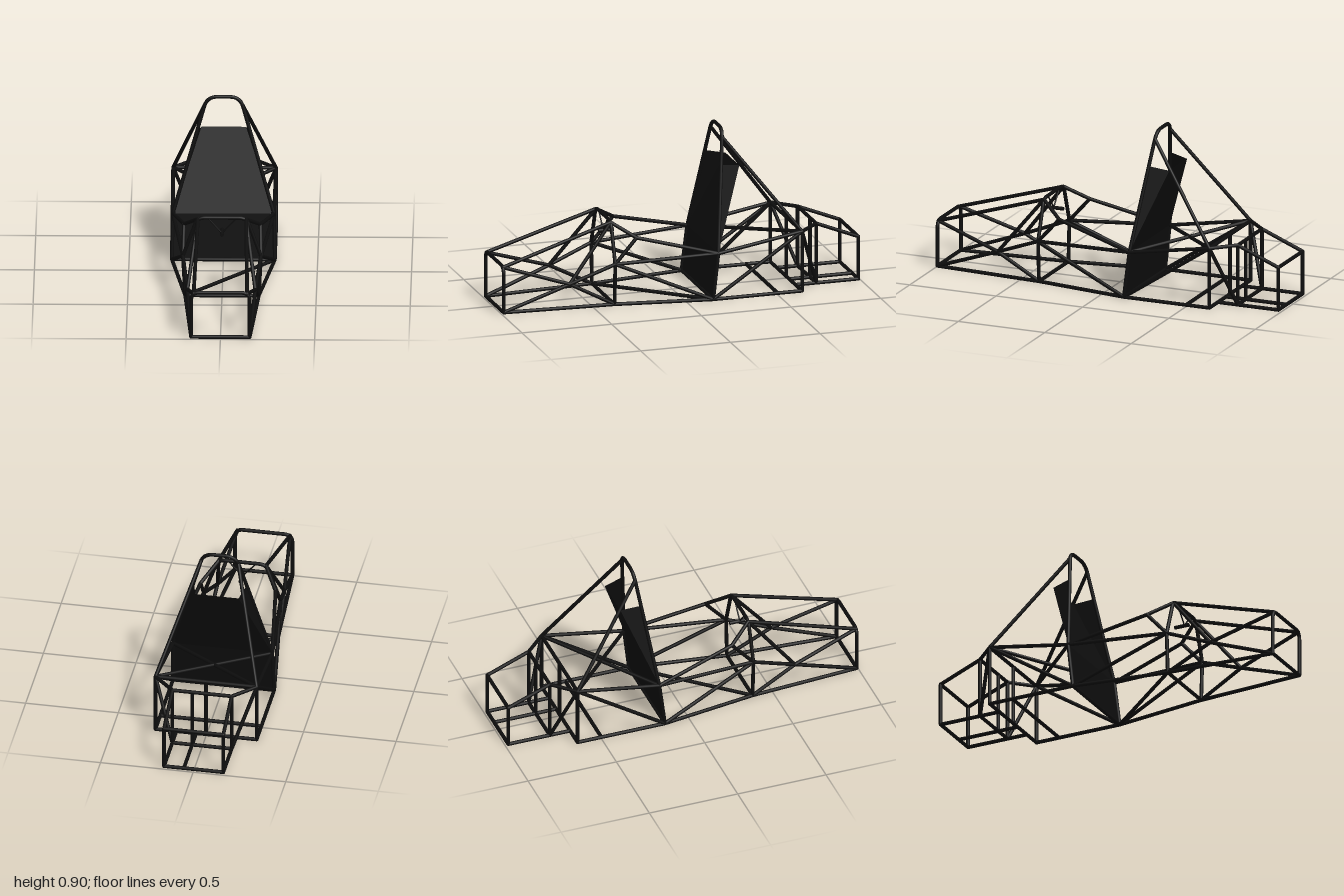
import * as THREE from 'three';

const R = 0.01;
const black = new THREE.MeshStandardMaterial({ color: 0x0d0d0d });
const sheet = new THREE.MeshStandardMaterial({ color: 0x0d0d0d, side: THREE.DoubleSide });
const V = (p) => new THREE.Vector3(...p);
const flip = (p) => [-p[0], p[1], p[2]];

export function createModel() {
  const model = new THREE.Group();
  model.name = 'spaceFrameChassis';

  const add = (parent, geo, name, mat = black) => {
    const m = new THREE.Mesh(geo, mat);
    m.name = name;
    parent.add(m);
    return m;
  };
  const group = (name) => {
    const g = new THREE.Group();
    g.name = name;
    model.add(g);
    return g;
  };

  // Straight tube between two nodes, with a ball closing each end
  const bar = (parent, name, a, b, r = R) => {
    const A = V(a), B = V(b), d = B.clone().sub(A);
    const m = add(parent, new THREE.CylinderGeometry(r, r, d.length(), 12), name);
    m.position.copy(A).add(B).multiplyScalar(0.5);
    m.quaternion.setFromUnitVectors(new THREE.Vector3(0, 1, 0), d.normalize());
    for (const p of [A, B]) add(parent, new THREE.SphereGeometry(r, 12, 8), 'joint').position.copy(p);
  };
  // The same tube on both sides
  const pair = (parent, name, a, b, r) => {
    bar(parent, name + 'Left', a, b, r);
    bar(parent, name + 'Right', flip(a), flip(b), r);
  };
  // Bent hoop: left half given from the foot up as [point, bend length]
  const hoop = (parent, name, half) => {
    const pts = [...half, ...half.slice().reverse().map(([p, t]) => [flip(p), t])];
    const path = new THREE.CurvePath();
    let from = V(pts[0][0]);
    for (let i = 1; i < pts.length - 1; i++) {
      const c = V(pts[i][0]), t = pts[i][1];
      const toward = (q) => c.clone().add(V(q).sub(c).setLength(t));
      const p = toward(pts[i - 1][0]), q = toward(pts[i + 1][0]);
      path.add(new THREE.LineCurve3(from, p));
      path.add(new THREE.QuadraticBezierCurve3(p, c, q));
      from = q;
    }
    path.add(new THREE.LineCurve3(from, V(pts[pts.length - 1][0])));
    add(parent, new THREE.TubeGeometry(path, 120, R, 12), name);
  };

  // Frame nodes on the left side
  const frontFoot = [0.155, R, 0.99], frontTop = [0.142, 0.257, 0.99];
  const mid = [0.18, 0.14, 0.63];
  const dashFoot = [0.195, R, 0.385], dashKnee = [0.207, 0.235, 0.385], dashTop = [0.128, 0.445, 0.385];
  const shoulder = [0.203, 0.37, 0.265];
  const mainFoot = [0.273, R, -0.14], mainKnee = [0.268, 0.26, -0.17], mainUpper = [0.1, 0.85, -0.245];
  const bulkFoot = [0.273, R, -0.635], bulkTop = [0.273, 0.34, -0.635];
  const boxFoot = [0.16, R, -0.75], boxTop = [0.16, 0.34, -0.75];
  const tailFoot = [0.16, R, -0.985], tailTop = [0.16, 0.245, -0.985];
  const across = (parent, name, p) => bar(parent, name, p, flip(p));

  // Hoops
  const hoops = group('hoops');
  hoop(hoops, 'frontHoop', [[frontFoot, 0], [[0.155, 0.262, 0.99], 0.045]]);
  hoop(hoops, 'dashHoop', [[dashFoot, 0], [dashKnee, 0.015], [[0.13, 0.452, 0.385], 0.04]]);
  hoop(hoops, 'mainHoop', [[mainFoot, 0], [mainKnee, 0.015], [[0.088, 0.893, -0.25], 0.055]]);

  // Nose
  const nose = group('nose');
  across(nose, 'frontCrossbar', frontFoot);
  pair(nose, 'bottomRail', frontFoot, dashFoot);
  pair(nose, 'topRail', frontTop, dashTop);
  for (const p of [frontFoot, frontTop, dashFoot, dashKnee, dashTop]) pair(nose, 'sideBrace', mid, p);

  // Cockpit
  const cockpit = group('cockpit');
  across(cockpit, 'dashCrossbar', dashFoot);
  across(cockpit, 'seatCrossbar', mainFoot);
  pair(cockpit, 'bottomRail', dashFoot, mainFoot);
  pair(cockpit, 'sideRail', dashKnee, mainKnee);
  pair(cockpit, 'sideDiagonal', dashKnee, mainFoot);
  pair(cockpit, 'shoulderFront', dashTop, shoulder);
  pair(cockpit, 'shoulderBrace', dashKnee, shoulder);
  pair(cockpit, 'shoulderRail', shoulder, mainKnee);
  bar(cockpit, 'floorDiagonal', mainFoot, flip(dashFoot));

  // Engine bay
  const bay = group('engineBay');
  pair(bay, 'bottomRail', mainFoot, bulkFoot);
  pair(bay, 'sideDiagonal', mainFoot, bulkTop);
  pair(bay, 'topRail', mainKnee, bulkTop);
  pair(bay, 'hoopStay', mainUpper, bulkTop);
  pair(bay, 'crossBrace', mainKnee, flip(bulkTop));
  across(bay, 'floorCrossbar', [0.273, R, -0.5]);

  // Rear bulkhead and tail box
  const tail = group('tail');
  pair(tail, 'bulkheadPost', bulkFoot, bulkTop);
  across(tail, 'bulkheadBottom', bulkFoot);
  across(tail, 'bulkheadTop', bulkTop);
  bar(tail, 'bulkheadCentrePost', [0, R, -0.635], [0, 0.34, -0.635]);
  pair(tail, 'topLink', bulkTop, boxTop);
  pair(tail, 'diagonalLink', bulkTop, boxFoot);
  pair(tail, 'boxPost', boxFoot, boxTop);
  across(tail, 'boxBottom', boxFoot);
  across(tail, 'boxTop', boxTop);
  pair(tail, 'bottomRail', [0.16, R, -0.635], tailFoot);
  pair(tail, 'topRail', boxTop, tailTop);
  pair(tail, 'tailPost', tailFoot, tailTop);
  across(tail, 'tailBottom', tailFoot);
  across(tail, 'tailTop', tailTop);
  bar(tail, 'offsetRail', [0.053, R, -0.635], [0.053, R, -0.985]);
  bar(tail, 'offsetPost', [0.053, R, -0.75], [0.053, 0.34, -0.75]);

  // Seat back: lower sheet, reclined upper sheet and triangular side gussets
  const back = [0.118, 0.69, -0.335], edge = [0.14, 0.708, -0.23];
  const quad = (a, b) => [a, flip(a), flip(b), a, flip(b), b].flat();
  const tris = [
    ...quad(mainFoot, mainKnee), ...quad(mainKnee, back),
    ...mainKnee, ...back, ...edge,
    ...flip(mainKnee), ...flip(edge), ...flip(back),
  ];
  const seat = new THREE.BufferGeometry();
  seat.setAttribute('position', new THREE.Float32BufferAttribute(tris, 3));
  seat.computeVertexNormals();
  add(model, seat, 'seatBack', sheet);

  // Steering column mount
  const steering = group('steering');
  pair(steering, 'columnStay', [0.075, 0.45, 0.385], [0, 0.365, 0.385], 0.004);
  const column = add(steering, new THREE.CylinderGeometry(0.01, 0.01, 0.085, 16), 'columnBush');
  column.rotation.x = Math.PI / 2;
  column.position.set(0, 0.364, 0.37);

  return model;
}
